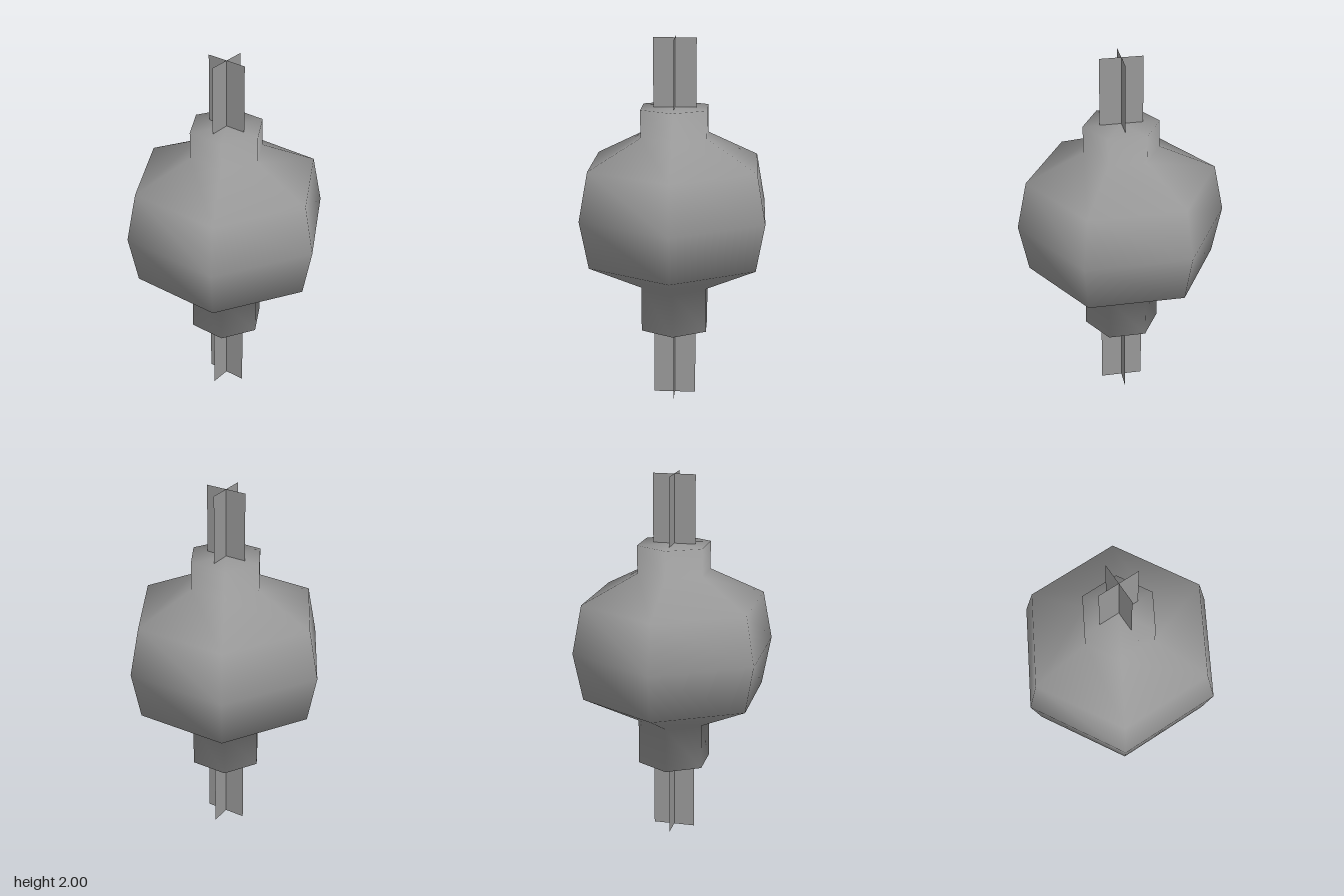
import * as THREE from 'three';
import { mergeVertices } from 'three/addons/utils/BufferGeometryUtils.js';

export function createModel() {
  const group = new THREE.Group();
  const grey = new THREE.MeshStandardMaterial({ color: 0x999999 });
  const thin = new THREE.MeshStandardMaterial({ color: 0x999999, side: THREE.DoubleSide });

  // Hexagonal lantern body with a collar at each end, corners on the x axis
  const profile = [
    [0, 0.4], [0.204, 0.4], [0.204, 0.648], [0.512, 0.8], [0.565, 1.063],
    [0.512, 1.327], [0.204, 1.479], [0.204, 1.63], [0, 1.63],
  ].map(([r, y]) => new THREE.Vector2(r, y));
  const lathe = new THREE.LatheGeometry(profile, 6, Math.PI / 2);

  // Weld the seam and poles so the shading is smooth all over
  lathe.deleteAttribute('normal');
  lathe.deleteAttribute('uv');
  const bodyShape = mergeVertices(lathe, 0.001);
  bodyShape.computeVertexNormals();
  const body = new THREE.Mesh(bodyShape, grey);
  body.name = 'lanternBody';
  group.add(body);

  // Crossed flat strips forming the hanging rod above and the tassel below
  const addStrips = (name, bottom, top) => {
    for (const turn of [0, Math.PI / 2]) {
      const strip = new THREE.Mesh(new THREE.PlaneGeometry(0.23, top - bottom), thin);
      strip.position.y = (top + bottom) / 2;
      strip.rotation.y = turn;
      strip.name = name;
      group.add(strip);
    }
  };
  addStrips('hangingRod', 1.63, 2);
  addStrips('tassel', 0, 0.4);

  return group;
}
